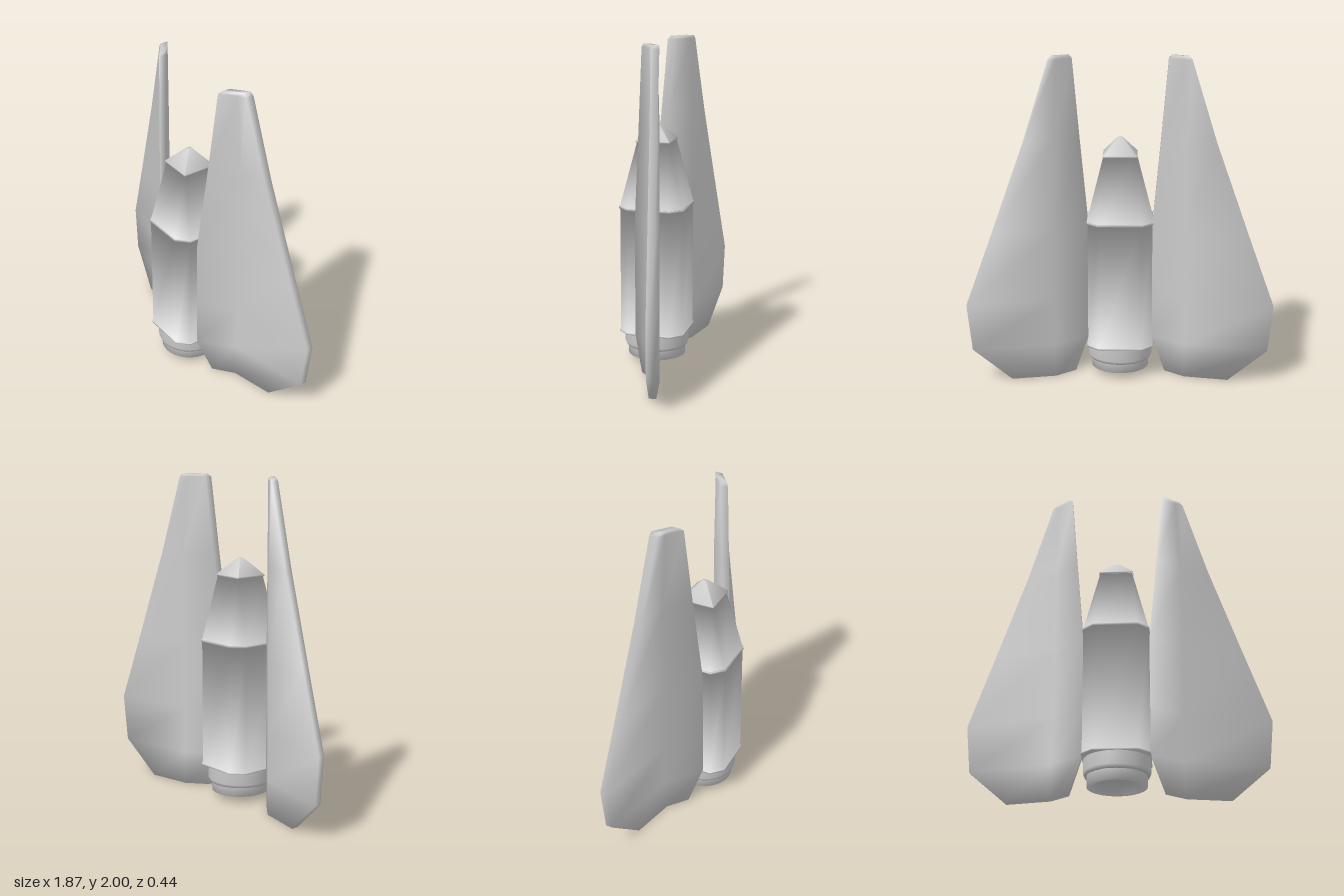
import * as THREE from 'three';

const grey = new THREE.MeshStandardMaterial({ color: 0xcccccc, side: THREE.DoubleSide });
const CZ = 0.012; // depth of the hull axis

function part(name, geometry) {
  const mesh = new THREE.Mesh(geometry, grey);
  mesh.name = name;
  return mesh;
}

// Soft normals: every face round a corner counts equally, so edges look rounded
function softNormals(g) {
  const p = g.attributes.position, index = g.index.array;
  const sums = Array.from({ length: p.count }, () => new THREE.Vector3());
  const tri = new THREE.Triangle(), normal = new THREE.Vector3();
  for (let i = 0; i < index.length; i += 3) {
    const corners = index.slice(i, i + 3);
    tri.setFromAttributeAndIndices(p, ...corners).getNormal(normal);
    corners.forEach(c => sums[c].add(normal));
  }
  const flat = sums.flatMap(v => v.normalize().toArray());
  g.setAttribute('normal', new THREE.Float32BufferAttribute(flat, 3));
  return g;
}

// Closed skin between rings of [x, y, z] (counterclockwise from above)
function loft(rings) {
  const n = rings[0].length, last = (rings.length - 1) * n, index = [];
  for (let r = 0; r < rings.length - 1; r++) {
    for (let i = 0; i < n; i++) {
      const a = r * n + i, b = r * n + (i + 1) % n;
      index.push(a, b, b + n, a, b + n, a + n);
    }
  }
  for (let i = 0; i < n / 2 - 1; i++) {
    const a = i, b = i + 1, c = n - 2 - i, d = n - 1 - i;
    index.push(c, b, a, d, c, a);
    index.push(last + a, last + b, last + c, last + a, last + c, last + d);
  }
  const g = new THREE.BufferGeometry();
  g.setAttribute('position', new THREE.Float32BufferAttribute(rings.flat(2), 3));
  g.setIndex(index);
  return softNormals(g);
}

// Square of half-width r whose corners are cut back to c
function octagon(y, r, c) {
  return [[r, c], [r, -c], [c, -r], [-c, -r], [-r, -c], [-r, c], [-c, r], [c, r]]
    .map(([x, z]) => [x, y, z + CZ]);
}

// Straight-line interpolation through [x, z] points, extended at both ends
function along(points, x) {
  const i = x < points[1][0] ? 0 : 1;
  const [x0, z0] = points[i], [x1, z1] = points[i + 1];
  return z0 + (z1 - z0) * (x - x0) / (x1 - x0);
}

// Bent wing plate: front and back skins in plan, outline as [y, inner x, outer x]
const FRONT = [[0.2, 0.095], [0.4, -0.065], [0.93, -0.18]];
const BACK = [[0.2, 0.05], [0.4, -0.115], [0.93, -0.22]];
const OUTLINE = [
  [0, 0.28, 0.67], [0.21, 0.2, 0.905], [0.5, 0.2, 0.935], [0.94, 0.2, 0.775],
  [1.5, 0.25, 0.575], [1.98, 0.29, 0.425], [2, 0.31, 0.405],
];
function wing(side) {
  return loft(OUTLINE.map(([y, inner, outer]) => {
    const xs = [inner, Math.min(0.4, inner + (outer - inner) * 0.65), outer];
    const ring = [
      ...xs.map(x => [x * side, y, along(FRONT, x)]),
      ...xs.slice().reverse().map(x => [x * side, y, along(BACK, x)]),
    ];
    return side > 0 ? ring : ring.reverse();
  }));
}

function lathe(points) {
  const g = new THREE.LatheGeometry(points.map(([r, y]) => new THREE.Vector2(r, y)), 32);
  return g.translate(0, 0, CZ);
}

export function createModel() {
  const model = new THREE.Group();
  model.name = 'spacecraft';

  // Hull sunk slightly between a lip at each end
  model.add(part('hull', loft([
    octagon(0.2, 0.203, 0.134), octagon(0.21, 0.203, 0.134), octagon(0.21, 0.197, 0.13),
    octagon(0.985, 0.197, 0.13), octagon(0.985, 0.203, 0.134), octagon(1, 0.203, 0.134),
  ])));

  // Nose rising from the upper lip, tapering from octagon to square under the cap's edge
  model.add(part('nose', loft([
    octagon(1, 0.203, 0.134), octagon(1.001, 0.197, 0.13),
    octagon(1.39, 0.099, 0.096), octagon(1.39, 0.105, 0.102),
  ])));

  // Pointed cap
  model.add(part('noseCap', loft([
    octagon(1.39, 0.105, 0.102), octagon(1.4, 0.105, 0.102), octagon(1.5, 0.014, 0.0135),
  ])));

  // Round engine shoulder and open nozzle
  model.add(part('engineShoulder', lathe([
    [0.14, 0.1], [0.19, 0.1], [0.2, 0.12], [0.2, 0.2], [0.203, 0.2],
  ])));
  model.add(part('nozzle', lathe([
    [0, 0.1], [0.135, 0.1], [0.145, 0.04], [0.178, 0.04], [0.178, 0.1], [0.185, 0.1],
  ])));

  // Mirrored wings
  model.add(part('leftWing', wing(1)), part('rightWing', wing(-1)));
  return model;
}
